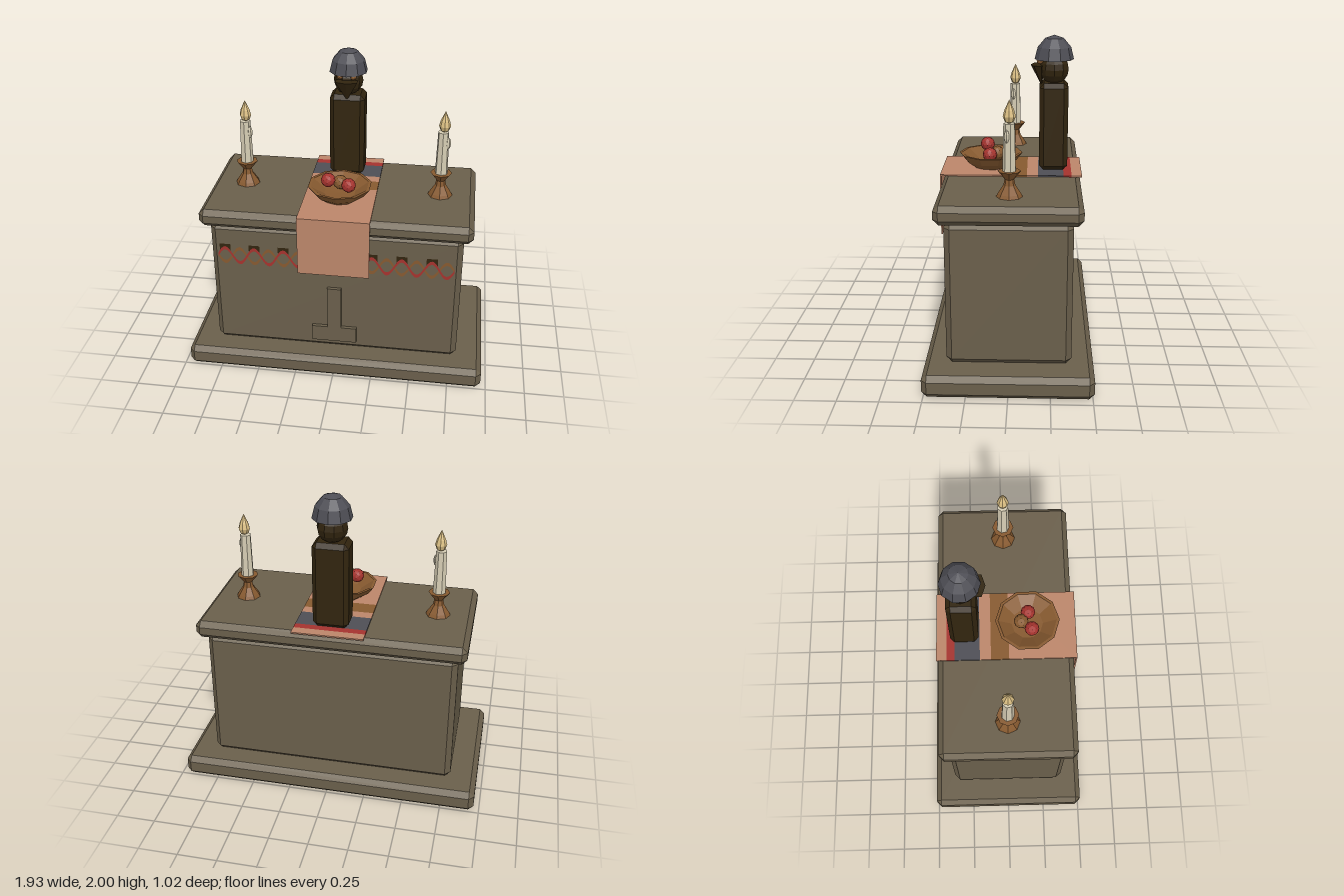
import * as THREE from 'three';
import { ConvexGeometry } from 'three/addons/geometries/ConvexGeometry.js';

export function createModel() {
  const root = new THREE.Group();
  root.name = 'altar';
  const mat = (name, color) => {
    const m = new THREE.MeshStandardMaterial({ color, flatShading: true });
    m.name = name;
    return m;
  };
  const stone = mat('stone', 0x6a5f4b);
  const cloth = mat('cloth', 0xbc866a);
  const red = mat('red', 0xa5332e);
  const slate = mat('slate', 0x4e4e55);
  const bronze = mat('bronze', 0x875a30);
  const darkWood = mat('darkWood', 0x32250f);
  const wax = mat('wax', 0xd6cdb4);
  const flameMat = mat('flame', 0xdcc084);

  const add = (name, geo, m, x = 0, y = 0, z = 0, parent = root) => {
    const mesh = new THREE.Mesh(geo, m);
    mesh.name = name;
    mesh.position.set(x, y, z);
    parent.add(mesh);
    return mesh;
  };
  const box = (w, h, d) => new THREE.BoxGeometry(w, h, d);
  const lathe = (pts, sides) =>
    new THREE.LatheGeometry(pts.map(([r, y]) => new THREE.Vector2(r, y)), sides);

  // Box with every edge and corner cut off
  const chamferBox = (w, h, d, c) => {
    const pts = [];
    for (const x of [-1, 1]) for (const y of [-1, 1]) for (const z of [-1, 1]) {
      const X = w / 2, Y = h / 2, Z = d / 2;
      pts.push(new THREE.Vector3(x * X, y * (Y - c), z * (Z - c)),
        new THREE.Vector3(x * (X - c), y * Y, z * (Z - c)),
        new THREE.Vector3(x * (X - c), y * (Y - c), z * Z));
    }
    return new ConvexGeometry(pts);
  };

  // Stone altar
  add('plinth', chamferBox(1.93, 0.14, 1.02, 0.033), stone, 0, 0.07, 0);
  add('altarBody', chamferBox(1.59, 0.89, 0.75, 0.035), stone, 0, 0.585, 0);
  add('altarTop', chamferBox(1.7, 0.115, 0.86, 0.033), stone, 0, 1.0875, 0);
  add('reliefFoot', box(0.29, 0.11, 0.03), stone, -0.003, 0.265, 0.382);
  add('reliefStem', box(0.09, 0.3, 0.03), stone, -0.003, 0.47, 0.382);

  // Carved frieze: two crossing waves with dark hollows between them
  const X0 = -0.75, period = 0.1875, mid = 0.81, amp = 0.052;
  const wave = (x, sign) => mid + sign * amp * Math.sin((2 * Math.PI * (x - X0)) / period);
  const band = (from, to, n, low, high) => {
    const s = new THREE.Shape();
    for (let i = 0; i <= n; i++) {
      const x = from + ((to - from) * i) / n;
      if (i) s.lineTo(x, low(x)); else s.moveTo(x, low(x));
    }
    for (let i = n; i >= 0; i--) {
      const x = from + ((to - from) * i) / n;
      s.lineTo(x, high(x));
    }
    return new THREE.ShapeGeometry(s);
  };
  for (const [name, sign, m, z] of [['brownWave', -1, bronze, 0.378], ['redWave', 1, red, 0.379]]) {
    add(name, band(-0.75, 0.75, 128, x => wave(x, sign) - 0.012, x => wave(x, sign) + 0.012), m, 0, 0, z);
  }
  for (let i = 0; i < 8; i++) {
    const a = X0 + i * period;
    add('friezeHollow', band(a + 0.012, a + period / 2 - 0.012, 8, x => wave(x, 1), () => mid + 0.08),
      darkWood, 0, 0, 0.3765);
  }

  // Altar cloth, laid in stripes along z, with a front drop
  const stripes = [[-0.44, -0.375, cloth], [-0.375, -0.325, red], [-0.325, -0.165, slate],
    [-0.165, -0.095, cloth], [-0.095, 0.02, bronze], [0.02, 0.45, cloth]];
  for (const [a, b, m] of stripes) {
    add('clothStripe', box(0.45, 0.009, b - a), m, 0, 1.15, (a + b) / 2);
  }
  add('clothDrop', box(0.45, 0.39, 0.009), cloth, 0, 0.955, 0.4455);

  // Fruit bowl
  const bowl = new THREE.Group();
  bowl.name = 'fruitBowl';
  bowl.position.set(0, 1.155, 0.14);
  root.add(bowl);
  add('bowl', lathe([[0, 0], [0.11, 0], [0.165, 0.04], [0.203, 0.09], [0.185, 0.09],
    [0.1, 0.035], [0, 0.03]], 10), bronze, 0, 0, 0, bowl);
  const fruit = new THREE.IcosahedronGeometry(0.046, 1);
  add('redFruit', fruit, red, -0.07, 0.128, 0.025, bowl);
  add('redFruit', fruit, red, 0.056, 0.088, 0.005, bowl);
  add('brownFruit', fruit, bronze, -0.003, 0.085, -0.04, bowl);

  // Candles on turned holders
  for (const x of [-0.625, 0.625]) {
    const g = new THREE.Group();
    g.name = 'candle';
    g.position.set(x, 1.145, 0);
    root.add(g);
    add('holder', lathe([[0, 0], [0.078, 0], [0.068, 0.02], [0.035, 0.07], [0.028, 0.105],
      [0.068, 0.155], [0, 0.155]], 8), bronze, 0, 0, 0, g);
    add('stick', new THREE.CylinderGeometry(0.034, 0.041, 0.285, 7), wax, 0, 0.293, 0, g);
    add('waxDrip', new THREE.SphereGeometry(0.018, 6, 5), wax, 0.033, 0.365, 0.014, g).scale.set(0.9, 2.2, 0.9);
    add('flame', lathe([[0, 0], [0.026, 0.015], [0.037, 0.045], [0.028, 0.08], [0.01, 0.12],
      [0, 0.142]], 8), flameMat, 0.006, 0.432, 0, g);
  }

  // Carved figure with a domed cap
  const figure = new THREE.Group();
  figure.name = 'figure';
  figure.position.set(0, 0, -0.26);
  root.add(figure);
  add('figureBody', chamferBox(0.225, 0.555, 0.18, 0.028), darkWood, 0, 1.432, 0, figure);
  add('head', new THREE.SphereGeometry(0.095, 10, 8), darkWood, 0, 1.79, 0, figure);
  add('cap', lathe([[0, 0], [0.123, 0], [0.104, 0.075], [0.058, 0.13], [0, 0.15]], 10),
    slate, 0, 1.85, 0, figure);

  // Beard tapers down and back to the chest
  const beard = new THREE.CylinderGeometry(0.08, 0.001, 0.135, 6);
  beard.scale(1, 1, 0.55);
  const p = beard.attributes.position;
  for (let i = 0; i < p.count; i++) p.setZ(i, p.getZ(i) + p.getY(i) * 0.2);
  add('beard', beard, darkWood, 0, 1.747, 0.09, figure);
  for (const s of [-1, 1]) {
    add('eye', new THREE.IcosahedronGeometry(0.02, 1), bronze, s * 0.042, 1.843, 0.09, figure);
  }
  return root;
}
